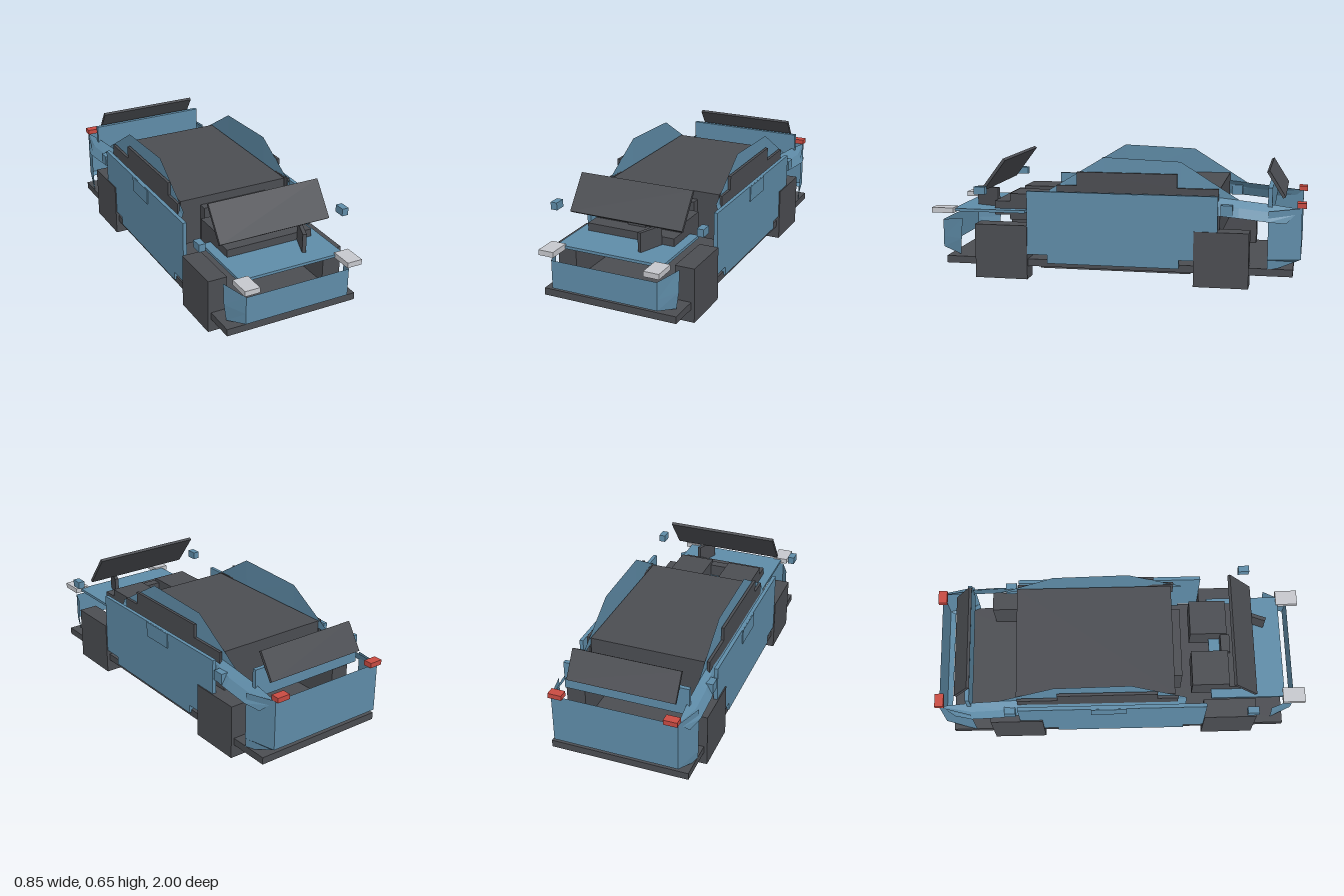
import * as THREE from 'three';

const mat = (name, color) => {
  const m = new THREE.MeshStandardMaterial({ color, side: THREE.DoubleSide, flatShading: true });
  m.name = name;
  return m;
};

export function createModel() {
  const car = new THREE.Group();
  car.name = 'car';
  const blue = mat('body blue', 0x5f8ca8);
  const dark = mat('charcoal', 0x4b4d52);
  const silver = mat('lamp silver', 0xc6c8cd);
  const red = mat('lamp red', 0xc94b42);

  const add = (name, geo, material) => {
    const m = new THREE.Mesh(geo, material);
    m.name = name;
    car.add(m);
    return m;
  };
  // Box given by its limits on each axis
  const box = (name, material, x0, x1, y0, y1, z0, z1) => {
    const m = add(name, new THREE.BoxGeometry(x1 - x0, y1 - y0, z1 - z0), material);
    m.position.set((x0 + x1) / 2, (y0 + y1) / 2, (z0 + z1) / 2);
    return m;
  };
  const pair = (name, material, x0, x1, ...yz) => {
    box(name + 'Left', material, x0, x1, ...yz);
    box(name + 'Right', material, -x1, -x0, ...yz);
  };
  // Surface through rows of [x, y, z] points of equal length
  const sheet = (name, material, rows) => {
    const n = rows[0].length, index = [];
    for (let r = 0; r < rows.length - 1; r++) {
      for (let i = 0; i < n - 1; i++) {
        const a = r * n + i, b = a + n;
        index.push(a, b, a + 1, a + 1, b, b + 1);
      }
    }
    const g = new THREE.BufferGeometry();
    g.setAttribute('position', new THREE.Float32BufferAttribute(rows.flat(2), 3));
    g.setIndex(index);
    const flat = g.toNonIndexed();
    flat.computeVertexNormals();
    return add(name, flat, material);
  };
  // Side plate cut from a [z, y] outline, between x0 and x1
  const plate = (name, material, outline, x0, x1) => {
    const shape = new THREE.Shape(outline.map(([z, y]) => new THREE.Vector2(-z, y)));
    const g = new THREE.ExtrudeGeometry(shape, { depth: x1 - x0, bevelEnabled: false });
    g.rotateY(Math.PI / 2);
    g.translate(x0, 0, 0);
    return add(name, g, material);
  };
  // Tilted glass panel between two [y, z] edges
  const panel = (name, halfWidth, [y0, z0], [y1, z1]) => {
    const m = add(name, new THREE.BoxGeometry(halfWidth * 2, Math.hypot(y1 - y0, z1 - z0), 0.016), dark);
    m.position.set(0, (y0 + y1) / 2, (z0 + z1) / 2);
    m.rotation.x = Math.atan2(z1 - z0, y1 - y0);
  };

  // Chassis and wheels
  box('floor', dark, -0.367, 0.367, 0.07, 0.108, -0.94, 0.905);
  box('underbody', dark, -0.232, 0.232, 0.03, 0.07, -0.4, 0.42);
  pair('frontWheel', dark, 0.28, 0.384, 0, 0.29, 0.453, 0.738);
  pair('rearWheel', dark, 0.28, 0.384, 0, 0.29, -0.717, -0.433);

  // Cabin and front interior
  box('cabin', dark, -0.31, 0.31, 0.25, 0.505, -0.56, 0.285);
  box('console', dark, -0.195, 0.19, 0.25, 0.46, 0.285, 0.33);
  pair('engineBlock', dark, 0.05, 0.243, 0.295, 0.437, 0.385, 0.585);
  box('engineBridge', dark, -0.243, 0.243, 0.32, 0.395, 0.58, 0.67);
  box('engineCover', dark, -0.05, 0.05, 0.32, 0.42, 0.55, 0.6);
  const fin = box('obliquePlate', dark, 0.134, 0.154, 0.315, 0.456, 0.665, 0.805);
  fin.rotation.y = -0.36;

  // Glass panels
  panel('windscreen', 0.312, [0.462, 0.718], [0.63, 0.592]);
  panel('rearScreen', 0.285, [0.464, -0.887], [0.598, -0.802]);

  // Doors, side windows and cabin frames
  const door = [[0.453, 0.474], [0.453, 0.135], [0.345, 0.135], [0.345, 0.09],
    [-0.357, 0.09], [-0.357, 0.135], [-0.555, 0.135], [-0.555, 0.474]];
  const glass = [[0.3, 0.4], [-0.555, 0.4], [-0.555, 0.505], [-0.34, 0.505],
    [-0.34, 0.577], [0.19, 0.577], [0.19, 0.505], [0.3, 0.505]];
  const frame = [
    [[0.322, 0.475, 0.345], [0.312, 0.655, 0.05], [0.312, 0.64, -0.355], [0.314, 0.45, -0.66], [0.316, 0.435, -0.81], [0.325, 0.415, -0.975]],
    [[0.325, 0.46, 0.345], [0.318, 0.48, 0.05], [0.318, 0.48, -0.355], [0.355, 0.415, -0.66], [0.355, 0.4, -0.81], [0.34, 0.385, -0.94]],
    [[0.358, 0.385, 0.345], [0.358, 0.385, 0.05], [0.358, 0.385, -0.4], [0.382, 0.367, -0.66], [0.382, 0.352, -0.81], [0.36, 0.342, -0.9]],
  ];
  for (const [side, s] of [['Left', 1], ['Right', -1]]) {
    const span = (a, b) => (s > 0 ? [a, b] : [-b, -a]);
    plate('door' + side, blue, door, ...span(0.358, 0.378));
    plate('sideWindow' + side, dark, glass, ...span(0.32, 0.335));
    sheet('cabinFrame' + side, blue, frame.map(row => row.map(([x, y, z]) => [s * x, y, z])));
  }
  pair('doorHandle', blue, 0.37, 0.383, 0.39, 0.473, -0.165, 0.025);
  pair('fuelFlap', blue, 0.34, 0.38, 0.375, 0.43, -0.63, -0.57);
  pair('mirror', blue, 0.39, 0.426, 0.457, 0.497, 0.665, 0.725);

  // Bonnet and front bumper
  box('bonnet', blue, -0.292, 0.292, 0.339, 0.354, 0.49, 0.89);
  sheet('frontBumper', blue, [
    [[-0.345, 0.313, 0.82], [-0.29, 0.292, 0.95], [0.29, 0.292, 0.95], [0.345, 0.313, 0.82]],
    [[-0.345, 0.2, 0.828], [-0.29, 0.2, 0.95], [0.29, 0.2, 0.95], [0.345, 0.2, 0.828]],
    [[-0.335, 0.112, 0.835], [-0.29, 0.142, 0.95], [0.29, 0.142, 0.95], [0.335, 0.112, 0.835]],
  ]);

  // Tail shell and boot divider
  sheet('tailShell', blue, [
    [[-0.372, 0.405, -0.81], [-0.33, 0.42, -0.978], [0.33, 0.42, -0.978], [0.372, 0.405, -0.81]],
    [[-0.372, 0.155, -0.81], [-0.33, 0.155, -0.978], [0.33, 0.155, -0.978], [0.372, 0.155, -0.81]],
    [[-0.366, 0.09, -0.81], [-0.32, 0.14, -0.95], [0.32, 0.14, -0.95], [0.366, 0.09, -0.81]],
  ]);
  box('bootDivider', blue, -0.33, 0.33, 0.37, 0.52, -0.828, -0.806);

  // Lamps
  pair('headlamp', silver, 0.245, 0.327, 0.334, 0.362, 0.88, 1);
  pair('tailLamp', red, 0.263, 0.335, 0.42, 0.446, -1, -0.953);

  return car;
}
